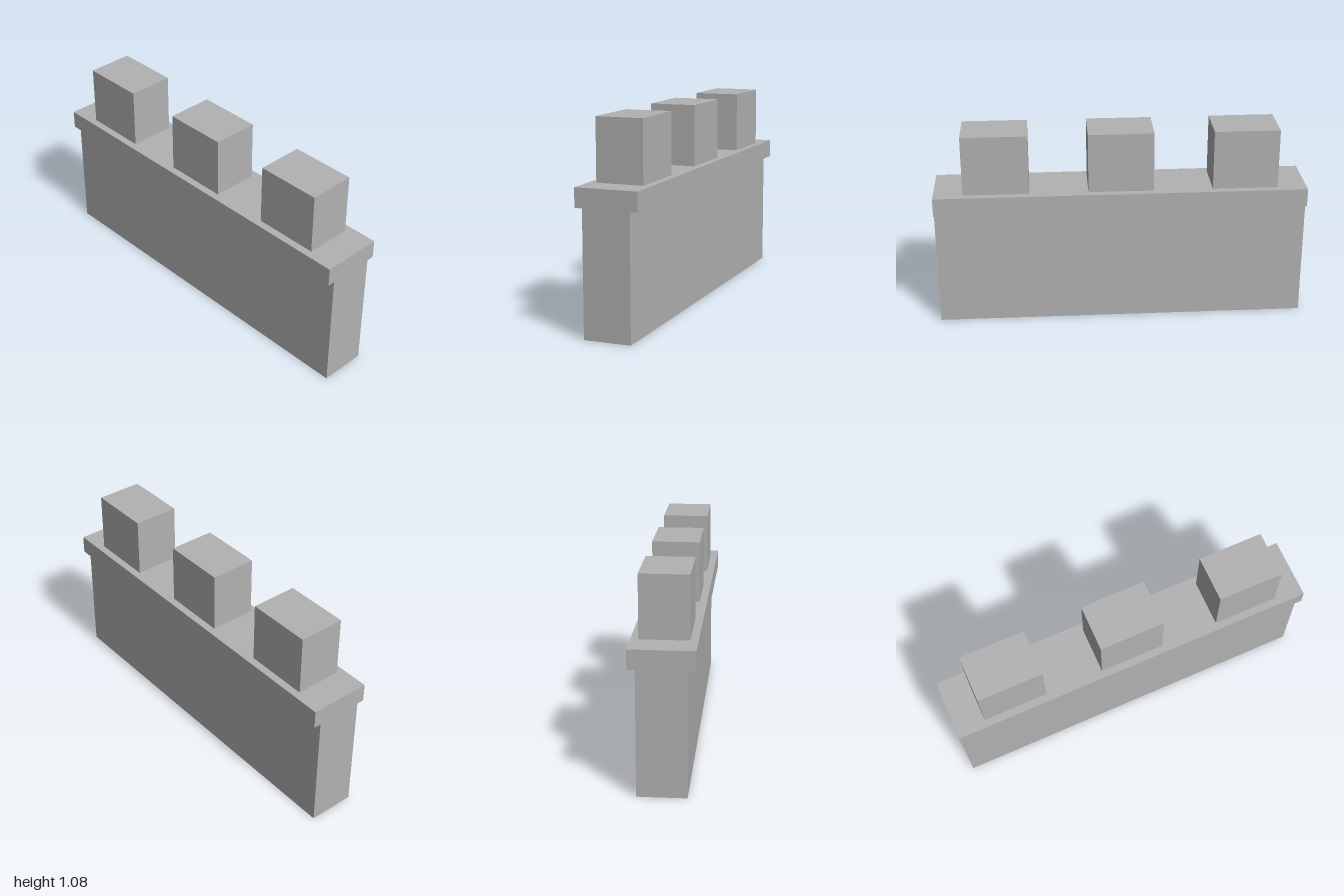
import * as THREE from 'three';

export function createModel() {
  const group = new THREE.Group();
  const stone = new THREE.MeshStandardMaterial({ color: 0xb2b2b2 });
  stone.name = 'stone grey';

  // Adds a box whose underside sits at the given height
  function addBlock(name, width, height, depth, x, bottom) {
    const mesh = new THREE.Mesh(new THREE.BoxGeometry(width, height, depth), stone);
    mesh.name = name;
    mesh.position.set(x, bottom + height / 2, 0);
    group.add(mesh);
  }

  // Wall body and the overhanging ledge on top of it
  addBlock('wall', 2, 0.65, 0.25, 0, 0);
  addBlock('ledge', 2, 0.1, 0.33, 0, 0.65);

  // Three evenly spaced merlons
  const names = ['rightMerlon', 'middleMerlon', 'leftMerlon'];
  names.forEach((name, i) => addBlock(name, 0.35, 0.325, 0.25, (i - 1) * 0.667, 0.75));

  return group;
}
